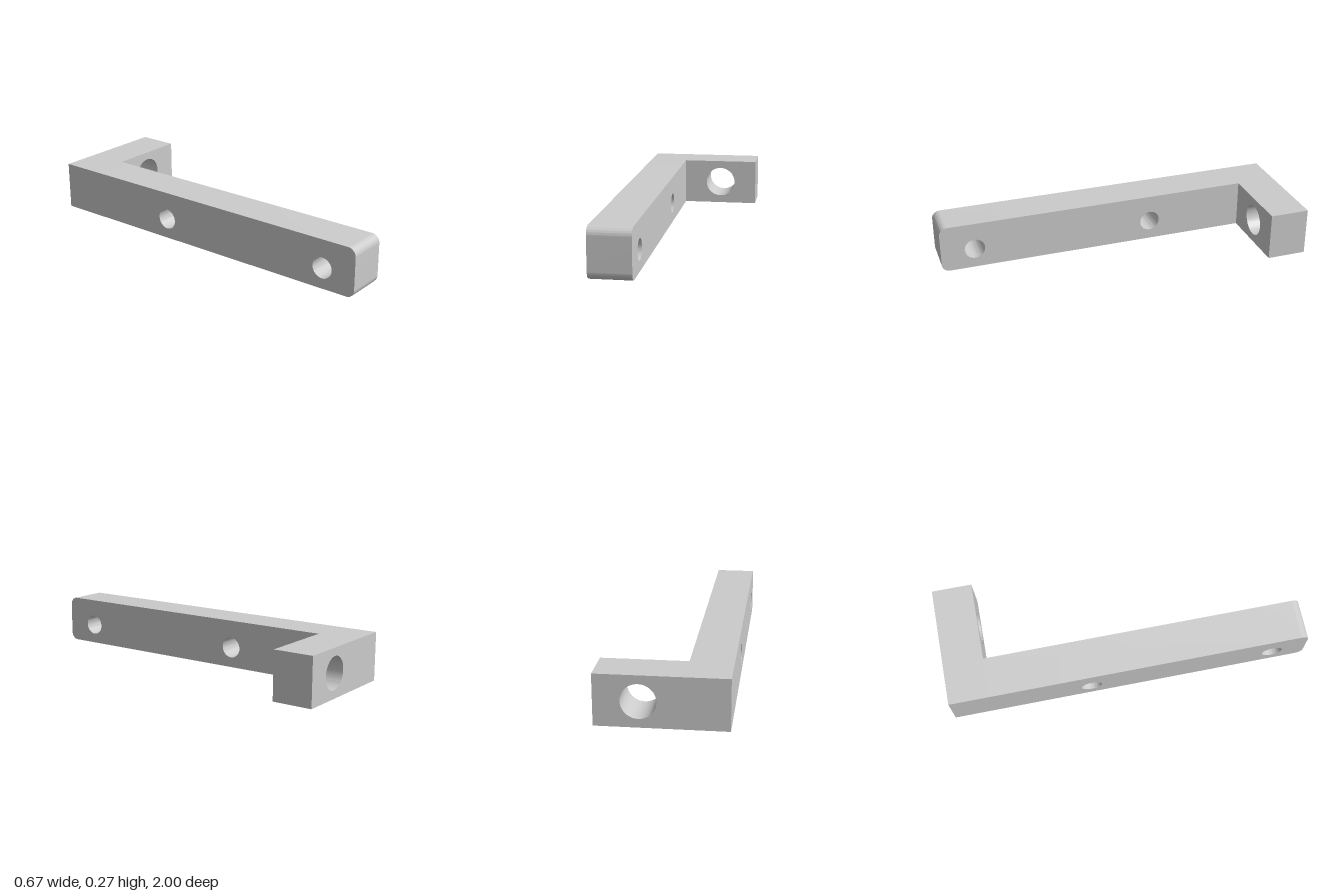
import * as THREE from 'three';
import { toCreasedNormals } from 'three/addons/utils/BufferGeometryUtils.js';

const H = 0.267, X0 = -0.333, X1 = -0.111, X2 = 0.333; // height, arm sides, foot tip
const Z0 = -1, Z1 = -0.778, Z2 = 1;                    // back, inner corner, arm tip
const R = 0.044;                                       // rounding of the arm tip

// Drop the walls lying on a hidden joint plane
function openAt(geometry, axis, value) {
  const g = geometry.index ? geometry.toNonIndexed() : geometry;
  const p = g.attributes.position, keep = [];
  for (let i = 0; i < p.count; i += 3) {
    const onPlane = [0, 1, 2].every(k => Math.abs(p.getComponent(i + k, axis) - value) < 1e-4);
    if (onPlane) continue;
    for (let k = 0; k < 3; k++) keep.push(p.getX(i + k), p.getY(i + k), p.getZ(i + k));
  }
  const out = new THREE.BufferGeometry();
  out.setAttribute('position', new THREE.Float32BufferAttribute(keep, 3));
  return out;
}

function addHole(shape, x, y, r) {
  shape.holes.push(new THREE.Path().absarc(x, y, r, 0, Math.PI * 2, true));
}

const extrude = (shape, depth) =>
  new THREE.ExtrudeGeometry(shape, { depth, bevelEnabled: false, curveSegments: 24 });

export function createModel() {
  const group = new THREE.Group();
  group.name = 'angleBracket';
  const material = new THREE.MeshStandardMaterial({ color: 0xcccccc });
  const add = (name, geometry) => {
    const mesh = new THREE.Mesh(toCreasedNormals(geometry, 0.6), material);
    mesh.name = name;
    group.add(mesh);
  };

  // Long arm: side profile with a rounded tip and two screw holes
  const side = new THREE.Shape();
  side.moveTo(Z1, 0);
  side.lineTo(Z2 - R, 0);
  side.absarc(Z2 - R, R, R, -Math.PI / 2, 0, false);
  side.lineTo(Z2, H - R);
  side.absarc(Z2 - R, H - R, R, 0, Math.PI / 2, false);
  side.lineTo(Z1, H);
  side.closePath();
  for (const z of [0.81, -0.22]) addHole(side, z, 0.113, 0.057);
  const arm = extrude(side, X1 - X0).rotateY(-Math.PI / 2).translate(X1, 0, 0);
  add('longArm', openAt(arm, 2, Z1));

  // Short foot with the large through hole
  const front = new THREE.Shape();
  front.moveTo(X1, 0);
  front.lineTo(X2, 0);
  front.lineTo(X2, H);
  front.lineTo(X1, H);
  front.closePath();
  addHole(front, 0.111, 0.134, 0.089);
  add('shortFoot', openAt(extrude(front, Z1 - Z0).translate(0, 0, Z0), 0, X1));

  // Solid corner joining arm and foot
  const corner = new THREE.BoxGeometry(X1 - X0, H, Z1 - Z0)
    .translate((X0 + X1) / 2, H / 2, (Z0 + Z1) / 2);
  add('corner', openAt(openAt(corner, 0, X1), 2, Z1));

  return group;
}
